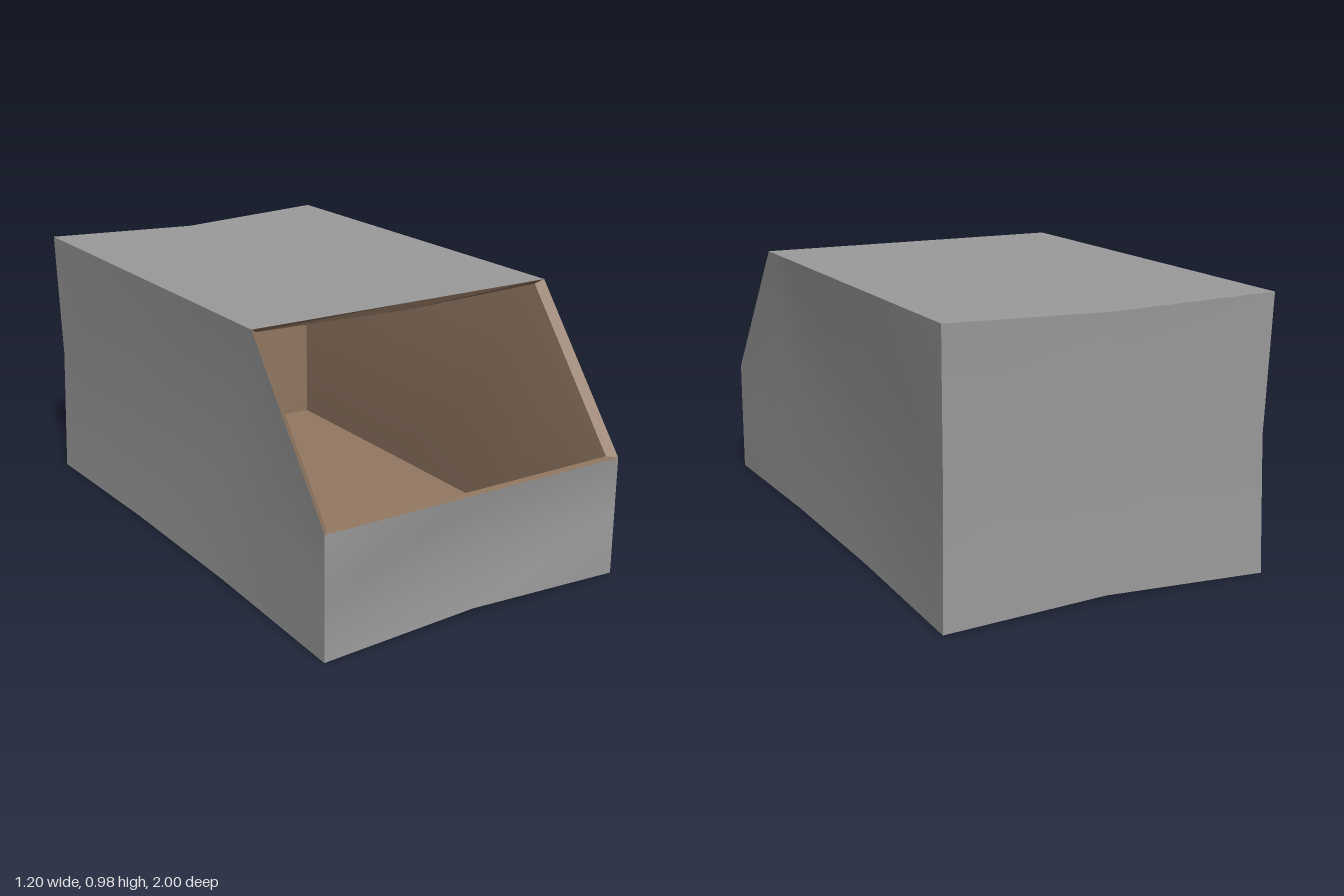
import * as THREE from 'three';

const OUTER = { w: 0.6, floor: 0, drop: 0, depth: 1, sag: 0 };
const INNER = { w: 0.573, floor: 0.03, drop: 0.017, depth: 0.968, sag: 0.014 };
const SLOPE = 0.575; // where the roof ends and the sloped opening begins

// Maps s (-1..1 across), v (0..1 up), w (-1..1 back to front) onto the dented shell
function point(shell, s, v, w) {
  const tx = 1 - Math.abs(s);
  const tv = 1 - Math.abs(2 * v - 1);
  const tz = Math.min(1, (1 - Math.abs(w)) * 1.5);
  const x = s * (shell.w - 0.01 * tz * (1 - v) - 0.03 * tz * tv - 0.01 * tv * Math.max(0, -w));

  const k = Math.max(0, (w - SLOPE) / (1 - SLOPE));
  const roofSag = w > 0.9 ? 0 : tx * (shell.sag + 0.02 * Math.min(1, (SLOPE - w) * 1.5));
  const top = 0.975 - 0.54 * k - shell.drop * (1 - k) - roofSag;
  const bottom = shell.floor + 0.015 * tx + 0.008 * tz;
  const y = bottom + (top - bottom) * v;

  let z = w * shell.depth;
  if (w === 1) z -= tx * (0.02 * (1 - v) + 0.04 * tv);
  if (w === -1) z += 0.025 * tx + 0.015 * tv;
  return new THREE.Vector3(x, y, z);
}

// Grid surface over two lists of parameters
function panel(us, vs, at, flip) {
  const pos = [], idx = [], n = vs.length;
  us.forEach(u => vs.forEach(v => pos.push(...at(u, v).toArray())));
  for (let i = 0; i < us.length - 1; i++) {
    for (let j = 0; j < n - 1; j++) {
      const a = i * n + j, b = a + n, c = b + 1, d = a + 1;
      idx.push(...(flip ? [a, c, b, a, d, c] : [a, b, c, a, c, d]));
    }
  }
  const g = new THREE.BufferGeometry();
  g.setAttribute('position', new THREE.Float32BufferAttribute(pos, 3));
  g.setIndex(idx);
  g.computeVertexNormals();
  return g;
}

export function createModel() {
  const grey = new THREE.MeshStandardMaterial({ color: 0x9b9b9b });
  grey.name = 'grey shell';
  const tan = new THREE.MeshStandardMaterial({ color: 0x947963 });
  tan.name = 'tan lining';

  const model = new THREE.Group();
  model.name = 'openFrontBin';
  const add = (parent, name, geometry, material) => {
    const mesh = new THREE.Mesh(geometry, material);
    mesh.name = name;
    parent.add(mesh);
  };

  const S = [-1, 0, 1], V = [0, 0.5, 1];
  const roofW = [-1, -0.33, 0.33, SLOPE], fullW = [...roofW, 1];

  // Outer shell and inner lining share the same six panels
  for (const [shell, name, material, inside] of [
    [OUTER, 'outerShell', grey, false],
    [INNER, 'innerLining', tan, true],
  ]) {
    const group = new THREE.Group();
    group.name = name;
    const p = (s, v, w) => point(shell, s, v, w);
    add(group, 'leftWall', panel(fullW, V, (w, v) => p(1, v, w), !inside), material);
    add(group, 'rightWall', panel(fullW, V, (w, v) => p(-1, v, w), inside), material);
    add(group, 'backWall', panel(S, V, (s, v) => p(s, v, -1), !inside), material);
    add(group, 'frontWall', panel(S, V, (s, v) => p(s, v, 1), inside), material);
    add(group, 'floor', panel(S, fullW, (s, w) => p(s, 0, w), inside), material);
    add(group, 'roof', panel(S, roofW, (s, w) => p(s, 1, w), !inside), material);
    model.add(group);
  }

  // Rim joining shell and lining around the opening
  const loop = [[-1, 1], [0, 1], [1, 1], [1, SLOPE], [0, SLOPE], [-1, SLOPE], [-1, 1]];
  const rim = panel(loop, [OUTER, INNER], ([s, w], shell) => point(shell, s, 1, w), false).toNonIndexed();
  rim.computeVertexNormals();
  add(model, 'openingRim', rim, tan);

  return model;
}
